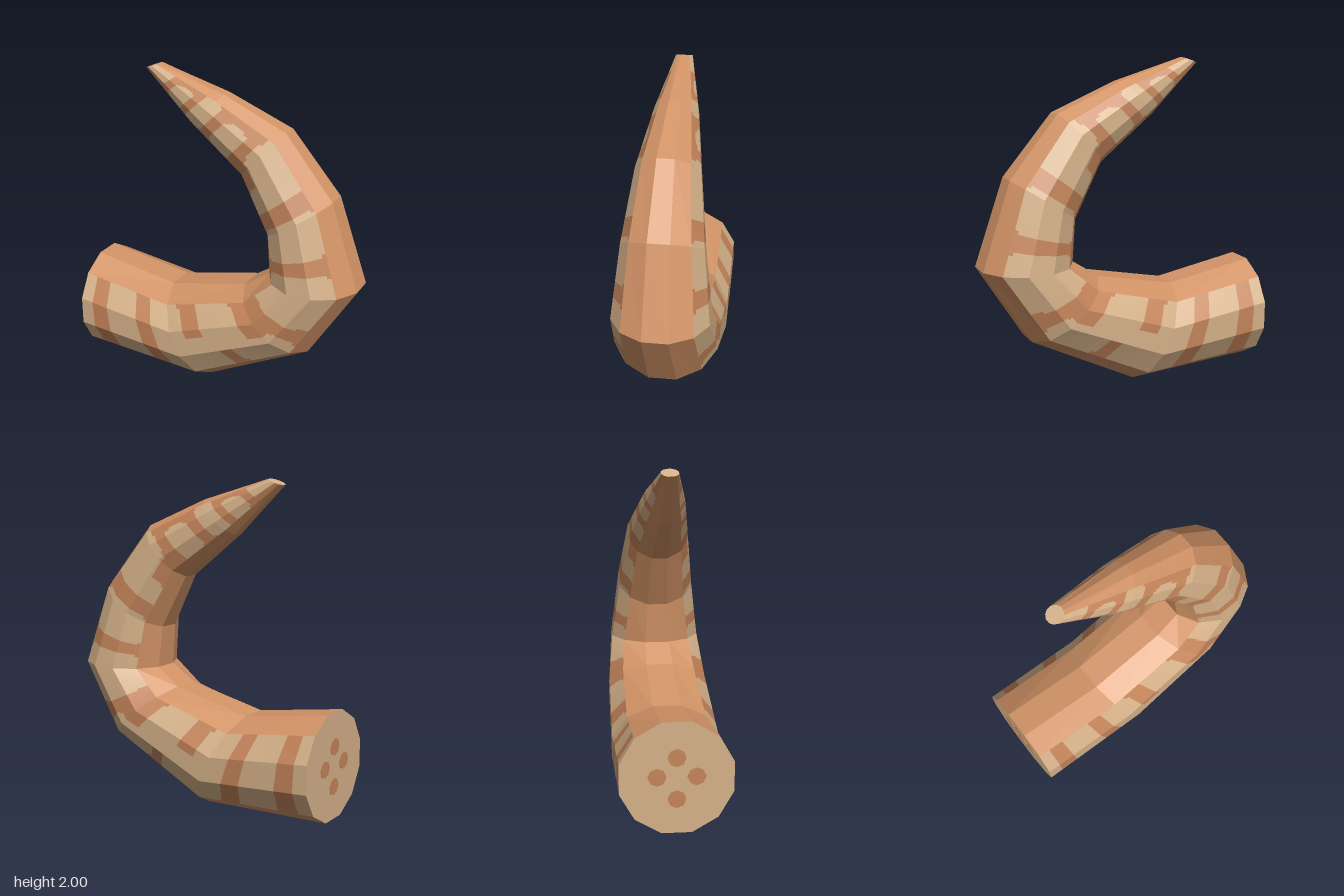
import * as THREE from 'three';

// Rings along the horn: inner x,y, outer x,y, half width in z
const RINGS = [
  [-0.9, 0.69, -0.9, 0.045, 0.318],
  [-0.34, 0.595, -0.07, 0.004, 0.324],
  [0.17, 0.705, 0.6, 0.345, 0.315],
  [0.33, 0.81, 0.89, 0.81, 0.285],
  [0.305, 1.07, 0.71, 1.335, 0.238],
  [0.13, 1.4, 0.405, 1.7, 0.188],
  [-0.22, 1.67, 0, 1.87, 0.13],
  [-0.535, 1.965, -0.44, 2, 0.05],
];

// Pale patches on the flanks: start, end (in rings), from inner edge 0 to outer edge 3
const PATCHES = [
  [-0.2, 0.13, 0, 3], [0.29, 0.63, 0, 3], [0.79, 1.15, 0, 3],
  [1.1, 1.45, 1.3, 3], [1.37, 1.82, 0, 2], [1.6, 2.15, 1.7, 3],
  [2.4, 3.28, 0, 3], [3.5, 4.08, 0, 3], [4.33, 4.7, 0, 3],
  [4.62, 5.1, 0.8, 3], [5.3, 5.65, 0, 2.4], [5.85, 6.12, 0, 3],
  [6.25, 6.52, 0, 2.4], [6.66, 7.2, 0.8, 3],
];

const SIDES = 12, STEP = 30, FLAT = Math.cos(Math.PI / 12);

// Point on a ring; angle 0 is the outer side of the bend, 90 is +z
function ringPoint(i, deg) {
  const [ix, iy, ox, oy, w] = RINGS[i];
  const a = THREE.MathUtils.degToRad(deg);
  const c = Math.cos(a) / FLAT / 2, s = Math.sin(a) / FLAT;
  return new THREE.Vector3((ix + ox) / 2 + (ox - ix) * c, (iy + oy) / 2 + (oy - iy) * c, w * s);
}

// Rounded-rectangle test for the patches
function isPale(t, v) {
  return PATCHES.some(([t0, t1, v0, v1]) => {
    const u = (2 * t - t0 - t1) / (t1 - t0), w = (2 * v - v0 - v1) / (v1 - v0);
    return u ** 8 + w ** 8 < 1.15;
  });
}

function meshFrom(points, material, name) {
  const g = new THREE.BufferGeometry().setFromPoints(points);
  g.computeVertexNormals();
  const m = new THREE.Mesh(g, material);
  m.name = name;
  return m;
}

export function createModel() {
  const group = new THREE.Group();
  group.name = 'curvedHorn';
  const mat = (name, color) => {
    const m = new THREE.MeshStandardMaterial({ color });
    m.name = name;
    return m;
  };
  const orange = mat('orange', 0xd29366);
  const darkOrange = mat('darkOrange', 0xc4845a);
  const tan = mat('tan', 0xd4b088);

  const shell = [], flank = [], pale = [];
  const quad = (out, a, b, c, d) => out.push(a, b, c, a, c, d);

  for (let i = 0; i < RINGS.length - 1; i++) {
    for (let k = 0; k < SIDES; k++) {
      const a0 = 15 + STEP * k, a1 = a0 + STEP, mid = a0 + STEP / 2;
      const p = ringPoint(i, a0), q = ringPoint(i + 1, a0);
      const r = ringPoint(i + 1, a1), s = ringPoint(i, a1);
      const folded = mid > 180 ? 360 - mid : mid;
      if (folded < 50 || folded > 130) {
        quad(shell, p, q, r, s);
        continue;
      }
      // Flank facets are divided into small cells that follow the patches
      const NT = 24, NV = 6;
      const at = (t, v) => p.clone().lerp(q, t).lerp(s.clone().lerp(r, t), v);
      for (let m = 0; m < NT; m++) for (let n = 0; n < NV; n++) {
        const ang = a0 + STEP * (n + 0.5) / NV;
        const v = (135 - (ang > 180 ? 360 - ang : ang)) / STEP;
        quad(isPale(i + (m + 0.5) / NT, v) ? pale : flank,
          at(m / NT, n / NV), at((m + 1) / NT, n / NV),
          at((m + 1) / NT, (n + 1) / NV), at(m / NT, (n + 1) / NV));
      }
    }
  }

  // End caps
  const caps = [];
  const last = RINGS.length - 1;
  for (let k = 1; k < SIDES - 1; k++) {
    const f = (i, n) => ringPoint(i, 15 + STEP * n);
    caps.push(f(0, 0), f(0, k), f(0, k + 1), f(last, 0), f(last, k + 1), f(last, k));
  }

  group.add(
    meshFrom(shell, orange, 'shell'),
    meshFrom(flank, darkOrange, 'flankBands'),
    meshFrom(pale, tan, 'flankPatches'),
    meshFrom(caps, tan, 'endCaps'),
  );

  // Four small spots on the base cap
  for (const [y, z] of [[0.12, 0], [-0.12, 0], [0.01, 0.11], [0.01, -0.11]]) {
    const spot = new THREE.Mesh(new THREE.CylinderGeometry(0.052, 0.052, 0.004, 8), darkOrange);
    spot.rotation.z = Math.PI / 2;
    spot.position.set(-0.901, 0.365 + y, z);
    spot.name = 'baseSpot';
    group.add(spot);
  }
  return group;
}
